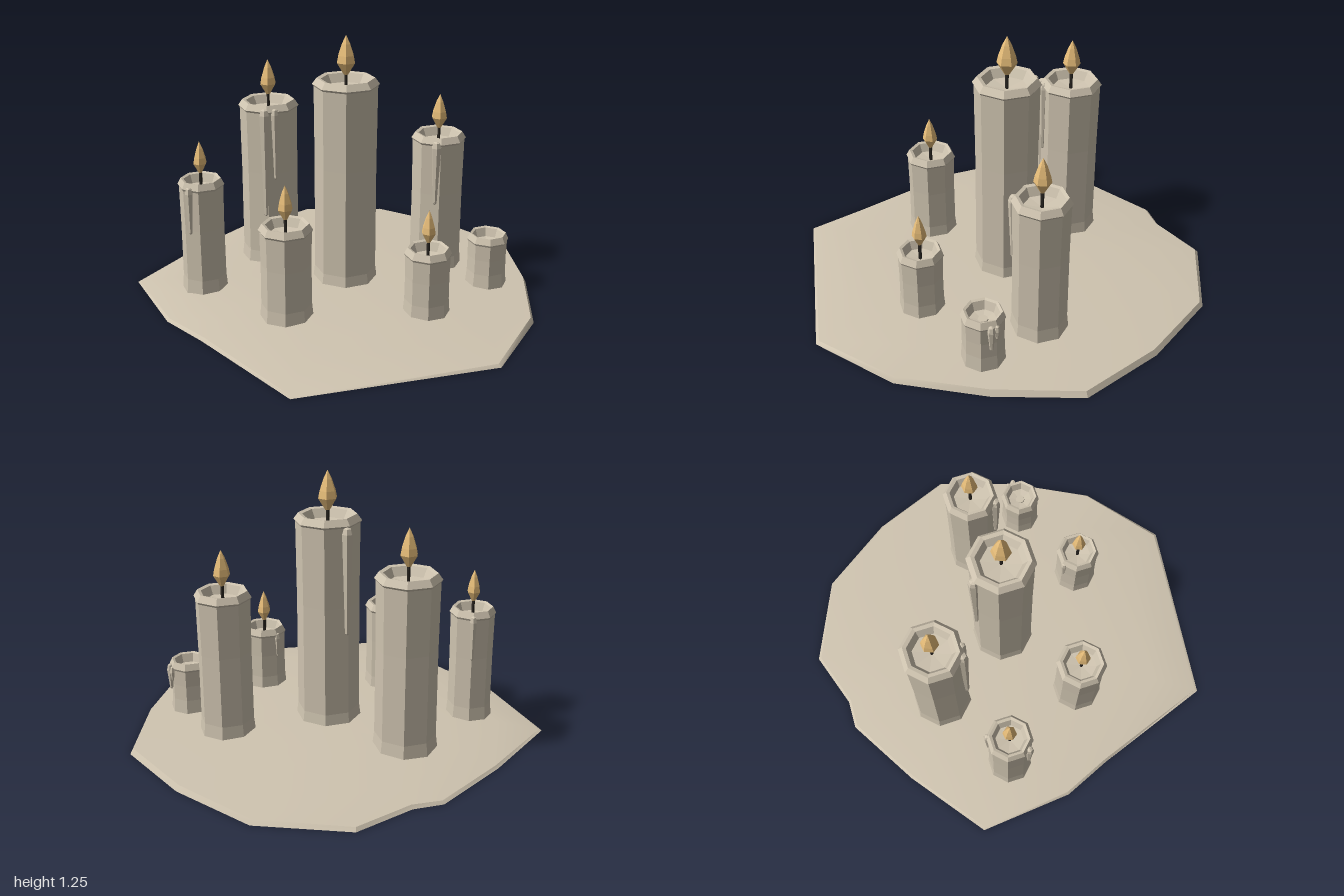
import * as THREE from 'three';
import { toCreasedNormals } from 'three/addons/utils/BufferGeometryUtils.js';

const wax = new THREE.MeshStandardMaterial({ color: 0xcfc4b0, flatShading: true });
const poolWax = new THREE.MeshStandardMaterial({ color: 0xcfc4b0 });
const fire = new THREE.MeshStandardMaterial({ color: 0xe8be7a, flatShading: true });
const char = new THREE.MeshStandardMaterial({ color: 0x2a2622, flatShading: true });

function add(parent, name, geometry, material, x = 0, y = 0, z = 0) {
  const mesh = new THREE.Mesh(geometry, material);
  mesh.name = name;
  mesh.position.set(x, y, z);
  parent.add(mesh);
  return mesh;
}

const lathe = (profile, sides) =>
  new THREE.LatheGeometry(profile.map(([r, y]) => new THREE.Vector2(r, y)), sides);

// Hardened wax puddle: x, z and rim height of each outline corner
function puddleGeometry() {
  const rim = [
    [-0.15, -1, 0.015], [0.28, -0.99, 0.02], [0.64, -0.76, 0.025], [0.93, -0.46, 0.025],
    [0.96, -0.05, 0.028], [0.92, 0.37, 0.025], [0.71, 0.76, 0.012], [-0.17, 1, 0.004],
    [-0.58, 0.54, 0.015], [-0.76, 0.36, 0.012], [-0.97, -0.05, 0.004], [-0.74, -0.44, 0.012],
    [-0.5, -0.76, 0.012], [-0.37, -0.81, 0.015],
  ];
  // Rings from the underside centre, round the rim, to the top centre
  const rings = [
    () => [0, 0], () => [1, 0], (h) => [0.985, h], () => [0.78, 0.033],
    () => [0.45, 0.045], () => [0, 0.05],
  ];
  const n = rim.length, position = [], index = [];
  rings.forEach((ring) => rim.forEach(([x, z, h]) => {
    const [s, y] = ring(h);
    position.push(x * s, y, z * s);
  }));
  for (let k = 0; k < rings.length - 1; k++) {
    for (let i = 0; i < n; i++) {
      const a = k * n + i, b = k * n + (i + 1) % n;
      if (k > 0) index.push(a, a + n, b);
      if (k < rings.length - 2) index.push(b, a + n, b + n);
    }
  }
  // The loops run clockwise seen from above, so turn every triangle outward
  for (let i = 0; i < index.length; i += 3) {
    [index[i + 1], index[i + 2]] = [index[i + 2], index[i + 1]];
  }
  const g = new THREE.BufferGeometry();
  g.setAttribute('position', new THREE.Float32BufferAttribute(position, 3));
  g.setIndex(index);
  return orientOutward(g);
}

// Make the top face up: flip all triangles if the enclosed volume is negative
function orientOutward(g) {
  const p = g.attributes.position, ix = g.index.array;
  const [a, b, c] = [new THREE.Vector3(), new THREE.Vector3(), new THREE.Vector3()];
  let volume = 0;
  for (let i = 0; i < ix.length; i += 3) {
    a.fromBufferAttribute(p, ix[i]);
    b.fromBufferAttribute(p, ix[i + 1]);
    c.fromBufferAttribute(p, ix[i + 2]);
    volume += a.dot(b.cross(c));
  }
  if (volume < 0) {
    for (let i = 0; i < ix.length; i += 3) [ix[i + 1], ix[i + 2]] = [ix[i + 2], ix[i + 1]];
  }
  return toCreasedNormals(g, 0.5);
}

// Octagonal candle with flared foot, bevelled rim and hollow top
function candleBody(r, h) {
  return lathe([
    [r, 0.025], [r * 0.94, 0.1], [r * 0.93, h * 0.6], [r * 0.95, h - 0.04], [r, h - 0.03],
    [r * 0.86, h], [r * 0.74, h - 0.005], [r * 0.6, h - 0.045], [0, h - 0.055],
  ], 8);
}

// Wax run: rounded top, long taper, blunt end
function dripGeometry(length, w) {
  return lathe([
    [0, -length], [w * 0.45, -length + 0.01], [w * 0.6, -length * 0.7],
    [w, -0.025], [w * 0.7, 0], [0, 0.006],
  ], 6);
}

function flameGeometry(r, height) {
  return lathe([
    [0, 0], [r * 0.25, 0.004], [r, height * 0.32], [r * 0.85, height * 0.5],
    [r * 0.45, height * 0.78], [0, height],
  ], 6);
}

// Drips: [x, z] from the candle axis, top, bottom, half width
const candles = [
  { x: 0.06, z: -0.04, r: 0.158, h: 1.05, flame: 0.047, tip: 1.25, drips: [[-0.1, -0.115, 1.01, 0.5, 0.026]] },
  { x: -0.32, z: -0.32, r: 0.15, h: 0.87, flame: 0.042, tip: 1.07, drips: [[-0.012, 0.137, 0.85, 0.3, 0.027], [0.038, 0.13, 0.85, 0.49, 0.02]] },
  { x: -0.62, z: 0.05, r: 0.11, h: 0.59, flame: 0.033, tip: 0.77, drips: [[-0.045, 0.095, 0.57, 0.34, 0.02], [0, -0.103, 0.57, 0.35, 0.018]] },
  { x: -0.21, z: 0.365, r: 0.123, h: 0.49, flame: 0.036, tip: 0.67, drips: [] },
  { x: 0.43, z: 0.32, r: 0.109, h: 0.355, flame: 0.034, tip: 0.535, drips: [[-0.075, -0.065, 0.33, 0.2, 0.016]] },
  { x: 0.52, z: -0.23, r: 0.134, h: 0.73, flame: 0.04, tip: 0.92, drips: [[-0.022, 0.122, 0.71, 0.39, 0.025]] },
  { x: 0.75, z: 0, r: 0.1, h: 0.29, flame: 0, tip: 0, drips: [[0.085, -0.045, 0.27, 0.14, 0.018], [0.07, -0.068, 0.265, 0.19, 0.013]] },
];

export function createModel() {
  const model = new THREE.Group();
  model.name = 'candleCluster';
  add(model, 'waxPuddle', puddleGeometry(), poolWax);

  candles.forEach(({ x, z, r, h, flame, tip, drips }) => {
    const candle = new THREE.Group();
    candle.name = 'candle';
    candle.position.set(x, 0, z);
    model.add(candle);
    add(candle, 'candleBody', candleBody(r, h), wax);
    drips.forEach(([dx, dz, top, bottom, w]) =>
      add(candle, 'waxDrip', dripGeometry(top - bottom, w), wax, dx, top, dz));
    if (flame) {
      const height = flame * 2.2 + 0.085;
      const wick = tip - height - h + 0.08;
      add(candle, 'wick', new THREE.CylinderGeometry(0.008, 0.008, wick, 6), char, 0, h - 0.06 + wick / 2);
      add(candle, 'flame', flameGeometry(flame, height), fire, 0, tip - height);
    } else {
      // Burnt-out wick hollow
      add(candle, 'wickStub', new THREE.CylinderGeometry(0.022, 0.025, 0.01, 10), wax, 0, h - 0.05);
    }
  });
  return model;
}
